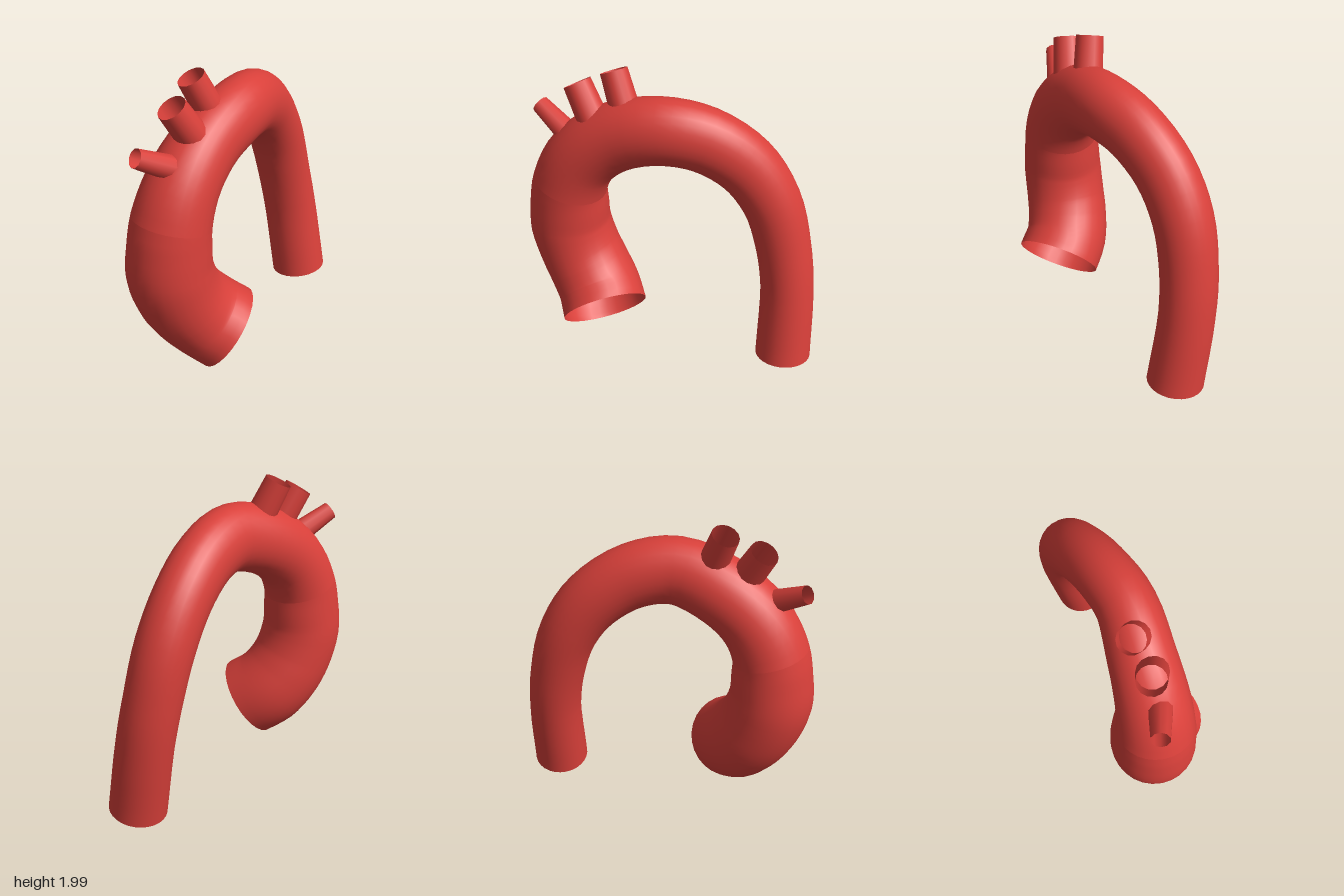
import * as THREE from 'three';

// Centreline stations: x, y, z, half width, half height
const STATIONS = [
  [0.09, 0.315, 0.455, 0.28, 0.285],
  [-0.035, 0.41, 0.495, 0.28, 0.28],
  [-0.12, 0.53, 0.56, 0.275, 0.275],
  [-0.17, 0.66, 0.62, 0.27, 0.272],
  [-0.2, 0.84, 0.668, 0.267, 0.27],
  [-0.197, 1.0, 0.668, 0.257, 0.26],
  [-0.185, 1.175, 0.65, 0.245, 0.243],
  [-0.145, 1.38, 0.555, 0.225, 0.232],
  [-0.075, 1.55, 0.36, 0.205, 0.225],
  [0.03, 1.648, 0.07, 0.185, 0.218],
  [0.06, 1.6, -0.2, 0.18, 0.21],
  [0.075, 1.43, -0.45, 0.18, 0.2],
  [0.1, 1.18, -0.62, 0.185, 0.188],
  [0.14, 0.85, -0.715, 0.183, 0.178],
  [0.185, 0.55, -0.752, 0.185, 0.174],
  [0.265, 0.042, -0.747, 0.19, 0.184],
];
const SEAM = 6; // station where the ascending part meets the arch
const LAST = STATIONS.length - 1;
const SIDES = 28;
const STEPS = 4; // rings per station

const curve = new THREE.CatmullRomCurve3(STATIONS.map(([x, y, z]) => new THREE.Vector3(x, y, z)));
const material = new THREE.MeshStandardMaterial({ color: 0xd9403a, side: THREE.DoubleSide });

// Open tube with elliptical rings between two stations
function vessel(name, from, to) {
  const position = [], index = [];
  const rings = (to - from) * STEPS;
  for (let i = 0; i <= rings; i++) {
    const s = from + i / STEPS;
    const k = Math.min(Math.floor(s), LAST - 1);
    const w = THREE.MathUtils.lerp(STATIONS[k][3], STATIONS[k + 1][3], s - k);
    const h = THREE.MathUtils.lerp(STATIONS[k][4], STATIONS[k + 1][4], s - k);
    const centre = curve.getPoint(s / LAST);
    const tangent = curve.getTangent(s / LAST);
    const side = new THREE.Vector3(1, 0, 0).addScaledVector(tangent, -tangent.x).normalize();
    const up = side.clone().cross(tangent);
    for (let j = 0; j < SIDES; j++) {
      const a = (j / SIDES) * Math.PI * 2;
      const p = centre.clone().addScaledVector(side, w * Math.cos(a)).addScaledVector(up, h * Math.sin(a));
      position.push(p.x, p.y, p.z);
      if (i < rings) {
        const n = (j + 1) % SIDES, r = i * SIDES, q = r + SIDES;
        index.push(r + j, q + j, r + n, q + j, q + n, r + n);
      }
    }
  }
  const geometry = new THREE.BufferGeometry();
  geometry.setAttribute('position', new THREE.Float32BufferAttribute(position, 3));
  geometry.setIndex(index);
  geometry.computeVertexNormals();
  const mesh = new THREE.Mesh(geometry, material);
  mesh.name = name;
  return mesh;
}

// Short open stub from inside the arch to its free end
function branch(name, base, tip, baseRadius, tipRadius, sides) {
  const a = new THREE.Vector3(...base), b = new THREE.Vector3(...tip);
  const axis = b.clone().sub(a);
  const mesh = new THREE.Mesh(
    new THREE.CylinderGeometry(tipRadius, baseRadius, axis.length(), sides, 1, true), material);
  mesh.name = name;
  mesh.position.copy(a).add(b).multiplyScalar(0.5);
  mesh.quaternion.setFromUnitVectors(new THREE.Vector3(0, 1, 0), axis.normalize());
  return mesh;
}

export function createModel() {
  const model = new THREE.Group();
  model.name = 'aorta';
  model.add(
    // Main vessel
    vessel('ascendingAorta', 0, SEAM),
    vessel('archAndDescendingAorta', SEAM, LAST),
    // Branches on top of the arch
    branch('rearBranch', [-0.055, 1.72, 0.275], [-0.155, 1.967, 0.345], 0.095, 0.086, 14),
    branch('middleBranch', [-0.095, 1.65, 0.475], [-0.19, 1.872, 0.572], 0.1, 0.09, 14),
    branch('frontBranch', [-0.18, 1.545, 0.66], [-0.315, 1.663, 0.822], 0.075, 0.058, 10),
  );
  return model;
}
